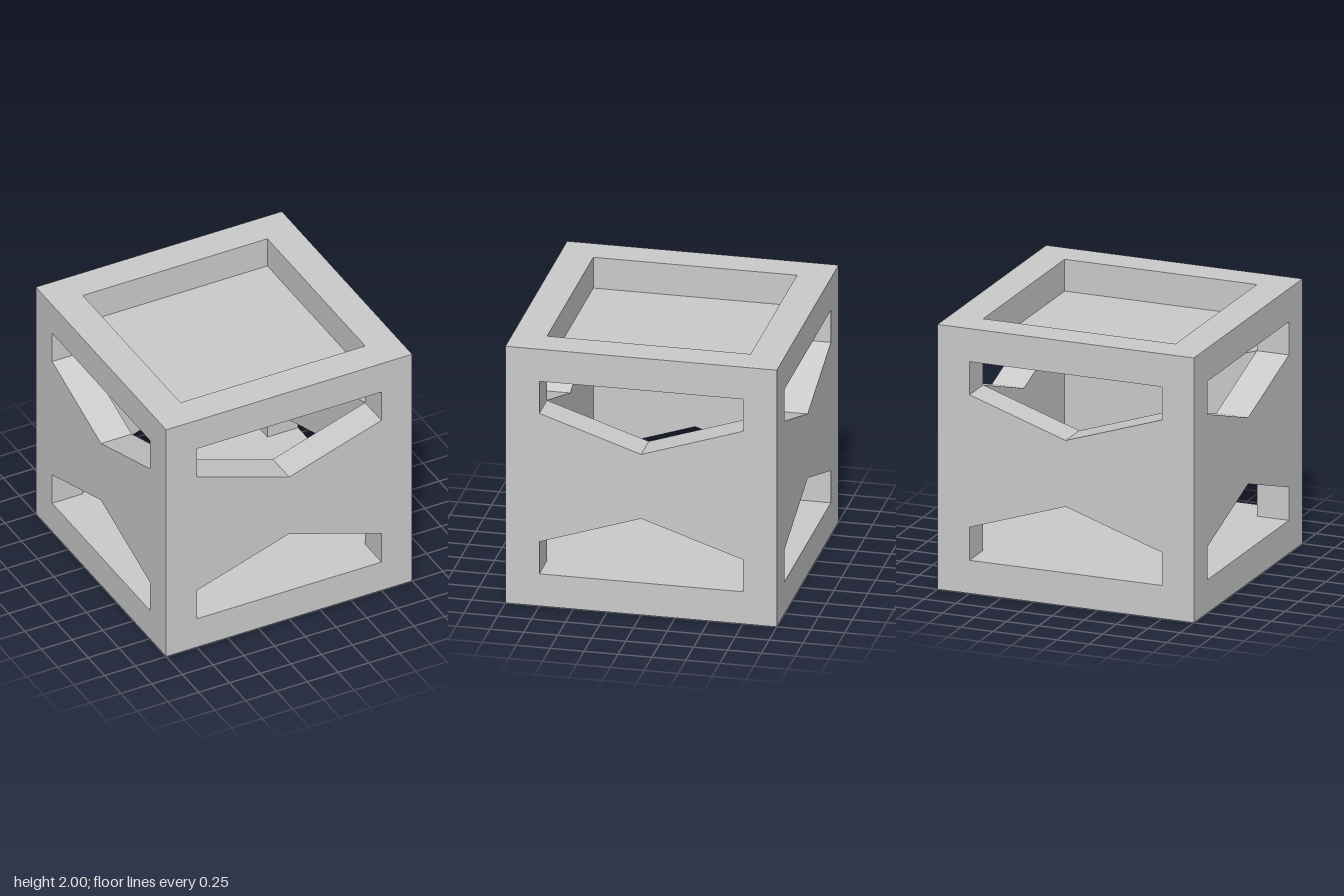
import * as THREE from 'three';

const OUT = 1, IN = 0.75, WALL = 0.25;
const material = new THREE.MeshStandardMaterial({ color: 0xcccccc, flatShading: true });

// Closed polygon from [x, y] corners
const poly = (pts, Type = THREE.Shape) => new Type(pts.map(([x, y]) => new THREE.Vector2(x, y)));

function addMesh(parent, geometry, name) {
  const mesh = new THREE.Mesh(geometry, material);
  mesh.name = name;
  parent.add(mesh);
  return mesh;
}

// Shapes are extruded by the wall thickness, ending on the outer face
function wallGeometry(shapes) {
  const g = new THREE.ExtrudeGeometry(shapes, { depth: WALL, bevelEnabled: false });
  return g.translate(0, 0, IN);
}

export function createModel() {
  const model = new THREE.Group();
  model.name = 'hollowCube';

  // Full-width wall with two five-sided windows
  const fullWall = poly([[-OUT, 0], [OUT, 0], [OUT, 2], [-OUT, 2]]);
  fullWall.holes.push(
    poly([[-IN, 1.75], [IN, 1.75], [IN, 1.5], [0, 1.25], [-IN, 1.5]], THREE.Path),
    poly([[-IN, 0.25], [-IN, 0.5], [0, 0.75], [IN, 0.5], [IN, 0.25]], THREE.Path)
  );
  const fullGeometry = wallGeometry(fullWall);

  // Side wall between the full walls: bottom rail, waisted belt, top rail
  const sideGeometry = wallGeometry([
    poly([[-IN, 0], [IN, 0], [IN, 0.25], [-IN, 0.25]]),
    poly([[-IN, 0.5], [0, 0.75], [IN, 0.5], [IN, 1.5], [0, 1.25], [-IN, 1.5]]),
    poly([[-IN, 1.75], [IN, 1.75], [IN, 2], [-IN, 2]])
  ]);

  ['frontWall', 'leftWall', 'backWall', 'rightWall'].forEach((name, i) => {
    const wall = addMesh(model, i % 2 ? sideGeometry : fullGeometry, name);
    wall.rotation.y = i * Math.PI / 2;
  });

  // Thin recessed panels closing the top and the bottom
  const panelGeometry = new THREE.BoxGeometry(2 * IN, 0.01, 2 * IN);
  addMesh(model, panelGeometry, 'topPanel').position.y = 1.755;
  addMesh(model, panelGeometry, 'bottomPanel').position.y = 0.245;

  return model;
}
